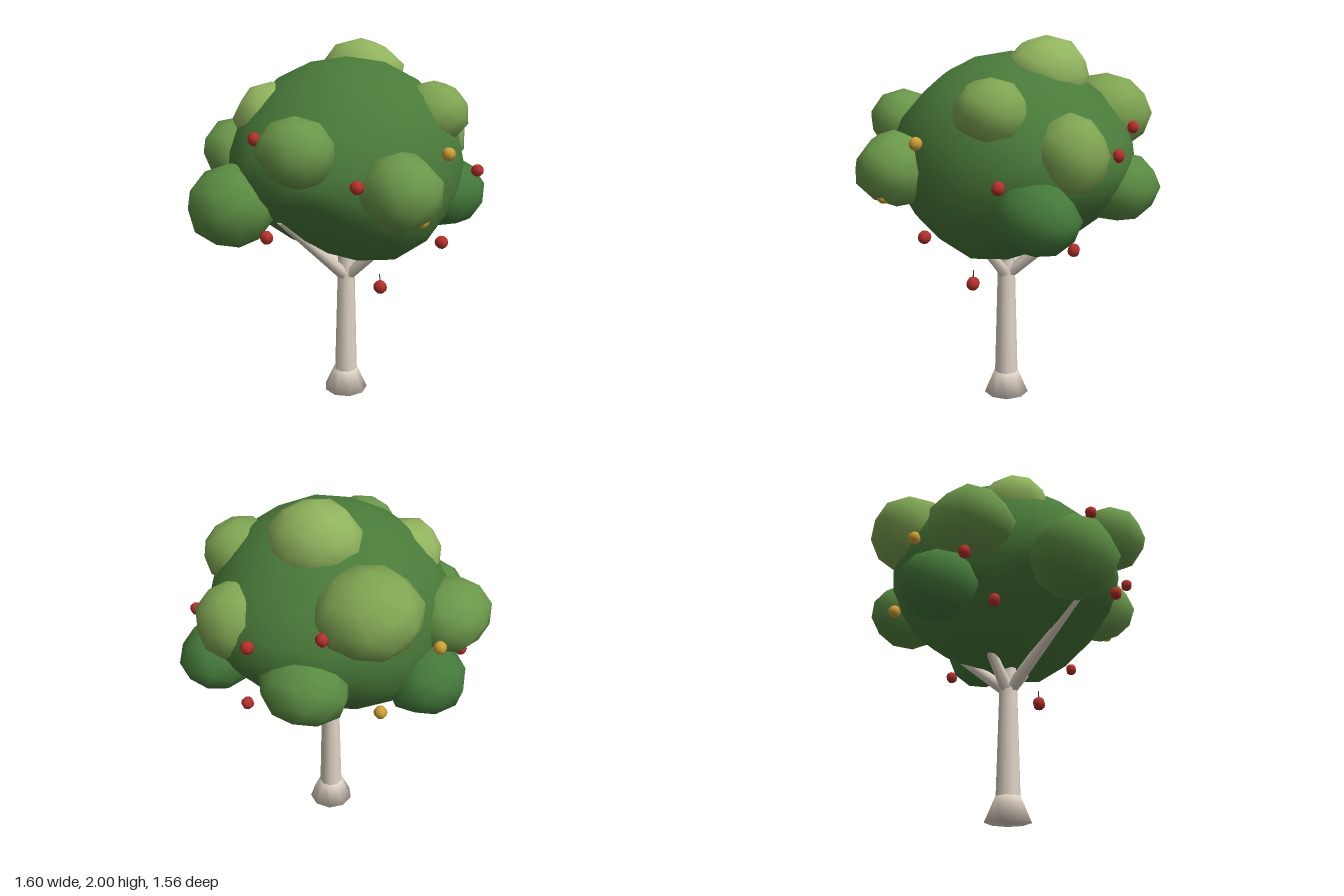
import * as THREE from 'three';
import { mergeVertices } from 'three/addons/utils/BufferGeometryUtils.js';

const material = (color) => new THREE.MeshStandardMaterial({ color });
const bark = material(0xdfd3c5);
const leaf = {
  core: material(0x4a7b3a),
  dark: material(0x44793a),
  mid: material(0x5a8b42),
  warm: material(0x6b984a),
  light: material(0x7fa552),
  pale: material(0x92b45e),
};
const red = material(0xb8302b);
const gold = material(0xd2a236);

// Small seeded generator for the lumpy leaf shapes
function seeded(seed) {
  let s = seed;
  return () => (s = (s * 16807) % 2147483647) / 2147483647;
}

// Smooth-shaded faceted ball; rule(v) bends each unit vertex
function ball(detail, rule) {
  let geo = new THREE.IcosahedronGeometry(1, detail);
  geo.deleteAttribute('uv');
  geo.deleteAttribute('normal');
  geo = mergeVertices(geo, 1e-3);
  const pos = geo.attributes.position;
  const v = new THREE.Vector3();
  for (let i = 0; i < pos.count; i++) {
    rule(v.fromBufferAttribute(pos, i));
    pos.setXYZ(i, v.x, v.y, v.z);
  }
  geo.computeVertexNormals();
  return geo;
}

function add(parent, name, geo, mat, x = 0, y = 0, z = 0) {
  const mesh = new THREE.Mesh(geo, mat);
  mesh.name = name;
  mesh.position.set(x, y, z);
  parent.add(mesh);
  return mesh;
}

// Tapered limb between two points
function limb(parent, name, from, to, r0, r1, sides, mat = bark) {
  const a = new THREE.Vector3(...from);
  const dir = new THREE.Vector3(...to).sub(a);
  const geo = new THREE.CylinderGeometry(r1, r0, dir.length(), sides);
  const mesh = add(parent, name, geo, mat);
  mesh.position.copy(a).addScaledVector(dir, 0.5);
  mesh.quaternion.setFromUnitVectors(new THREE.Vector3(0, 1, 0), dir.normalize());
}

export function createModel() {
  const tree = new THREE.Group();
  tree.name = 'fruitTree';

  // Trunk with flared foot and four forking branches
  const wood = new THREE.Group();
  wood.name = 'wood';
  tree.add(wood);
  const flare = [[0, 0], [0.125, 0], [0.07, 0.125], [0, 0.13]].map(([x, y]) => new THREE.Vector2(x, y));
  add(wood, 'rootFlare', new THREE.LatheGeometry(flare, 9), bark, 0.033, 0, 0.022);
  limb(wood, 'trunk', [0.033, 0.1, 0.022], [0.033, 0.84, 0.022], 0.066, 0.046, 9);
  const tips = [[-0.46, 1.14, 0.0], [0.43, 1.05, -0.1], [0.06, 0.93, 0.27], [0.0, 0.93, -0.23]];
  for (const tip of tips) limb(wood, 'branch', [0.033, 0.7, 0.022], tip, 0.036, 0.024, 6);

  // Main crown: tapers to a blunt keel below, rounded shoulders above
  const crown = new THREE.Group();
  crown.name = 'crown';
  tree.add(crown);
  const coreRandom = seeded(7);
  const core = ball(3, (v) => {
    let size = 0.99 + 0.02 * coreRandom();
    if (v.y < 0) {
      size += 0.22 * v.y * v.y * v.z * v.z;
      v.y *= 1 - (v.x < 0 ? 0.42 : 0.32) * Math.abs(v.x);
    } else {
      v.y *= 1 - 0.3 * v.x * v.x;
    }
    v.multiplyScalar(size);
  });
  add(crown, 'crownCore', core, leaf.core, 0.055, 1.36, 0.01).scale.set(0.67, 0.56, 0.61);

  // Leaf clusters: x, y, z, then radii, then shade
  const clusters = [
    [-0.58, 1.205, -0.23, 0.22, 0.215, 0.235, 'mid'],
    [-0.56, 1.535, 0.2, 0.187, 0.17, 0.2, 'warm'],
    [-0.24, 1.34, 0.58, 0.2, 0.195, 0.205, 'warm'],
    [0.26, 1.64, 0.42, 0.195, 0.165, 0.185, 'light'],
    [0.57, 1.44, 0.21, 0.195, 0.205, 0.19, 'light'],
    [0.505, 1.155, 0.39, 0.225, 0.185, 0.195, 'dark'],
    [0.24, 1.8, -0.045, 0.22, 0.2, 0.245, 'pale'],
    [0.37, 1.585, -0.425, 0.245, 0.215, 0.26, 'light'],
    [-0.17, 1.38, -0.57, 0.235, 0.19, 0.215, 'warm'],
    [0.03, 1.1, -0.57, 0.22, 0.185, 0.2, 'dark'],
    [0.59, 1.23, -0.22, 0.205, 0.185, 0.225, 'mid'],
    [-0.22, 1.61, -0.28, 0.22, 0.185, 0.18, 'pale'],
  ];
  clusters.forEach(([x, y, z, rx, ry, rz, shade], i) => {
    const random = seeded(101 + i * 977);
    const geo = ball(1, (v) => v.multiplyScalar(0.95 + 0.1 * random()));
    add(crown, 'leafCluster', geo, leaf[shade], x, y, z).scale.set(rx, ry, rz);
  });

  // Fruits scattered around the crown
  const fruitGeo = new THREE.SphereGeometry(1, 6, 6);
  const fruits = new THREE.Group();
  fruits.name = 'fruits';
  tree.add(fruits);
  const place = (mat, name, list) => {
    for (const [x, y, z, r = 0.034] of list) add(fruits, name, fruitGeo, mat, x, y, z).scale.setScalar(r);
  };
  place(red, 'redFruit', [
    [-0.475, 1.4, 0.5], [-0.635, 1.11, 0.07], [-0.58, 1.57, -0.05],
    [0.445, 1.325, 0.595], [0.025, 1.04, 0.65], [0.575, 0.965, 0.165],
    [0.72, 1.43, 0.01], [0.6, 1.53, -0.33], [-0.2, 1.18, -0.64],
    [-0.24, 0.98, -0.45], [0.012, 0.705, 0.28, 0.038],
  ]);
  place(gold, 'goldenFruit', [
    [0.01, 1.5, 0.68], [-0.215, 1.215, 0.69], [0.115, 1.36, -0.675], [0.39, 1.08, -0.52],
  ]);

  // Stem of the low hanging fruit
  limb(fruits, 'fruitStem', [0.012, 0.73, 0.28], [0.012, 0.78, 0.275], 0.003, 0.003, 5, material(0x4a3a2a));

  return tree;
}
